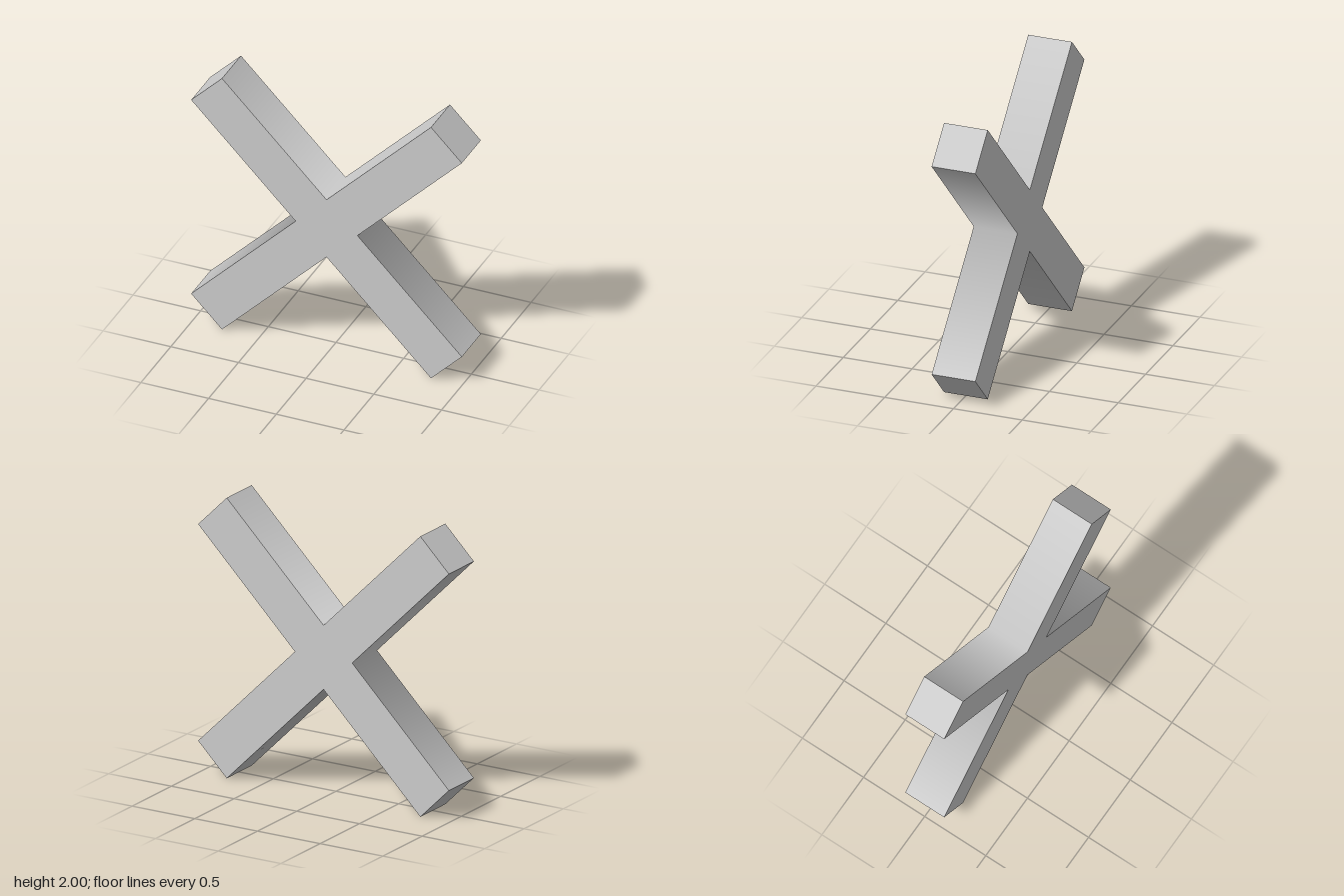
import * as THREE from 'three';

const INNER = 0.228;       // inner corner distance from the centre
const TIP = 1 - INNER;     // near coordinate of each arm end
const DEPTH = 0.318;

export function createModel() {
  const group = new THREE.Group();
  group.name = 'diagonalCross';

  // Outline: one arm (two end corners and an inner corner) turned four times
  const outline = [];
  for (let i = 0; i < 4; i++) {
    const turn = i * Math.PI / 2;
    for (const [x, y] of [[1, TIP], [TIP, 1], [0, INNER]]) {
      outline.push(new THREE.Vector2(x, y).rotateAround(new THREE.Vector2(), turn));
    }
  }
  const geometry = new THREE.ExtrudeGeometry(new THREE.Shape(outline), {
    depth: DEPTH, bevelEnabled: false,
  });
  geometry.translate(0, 0, -DEPTH / 2);

  // Side walls blend smoothly through the inner corners; all other edges stay sharp
  const pos = geometry.attributes.position;
  const nor = geometry.attributes.normal;
  for (let i = 0; i < pos.count; i++) {
    const r = Math.hypot(pos.getX(i), pos.getY(i));
    if (r < 0.5 && Math.abs(nor.getZ(i)) < 0.5) {
      nor.setXYZ(i, pos.getX(i) / r, pos.getY(i) / r, 0);
    }
  }

  const cross = new THREE.Mesh(geometry, new THREE.MeshStandardMaterial({ color: 0xcccccc }));
  cross.name = 'crossedArms';
  cross.position.y = 1;
  group.add(cross);
  return group;
}
